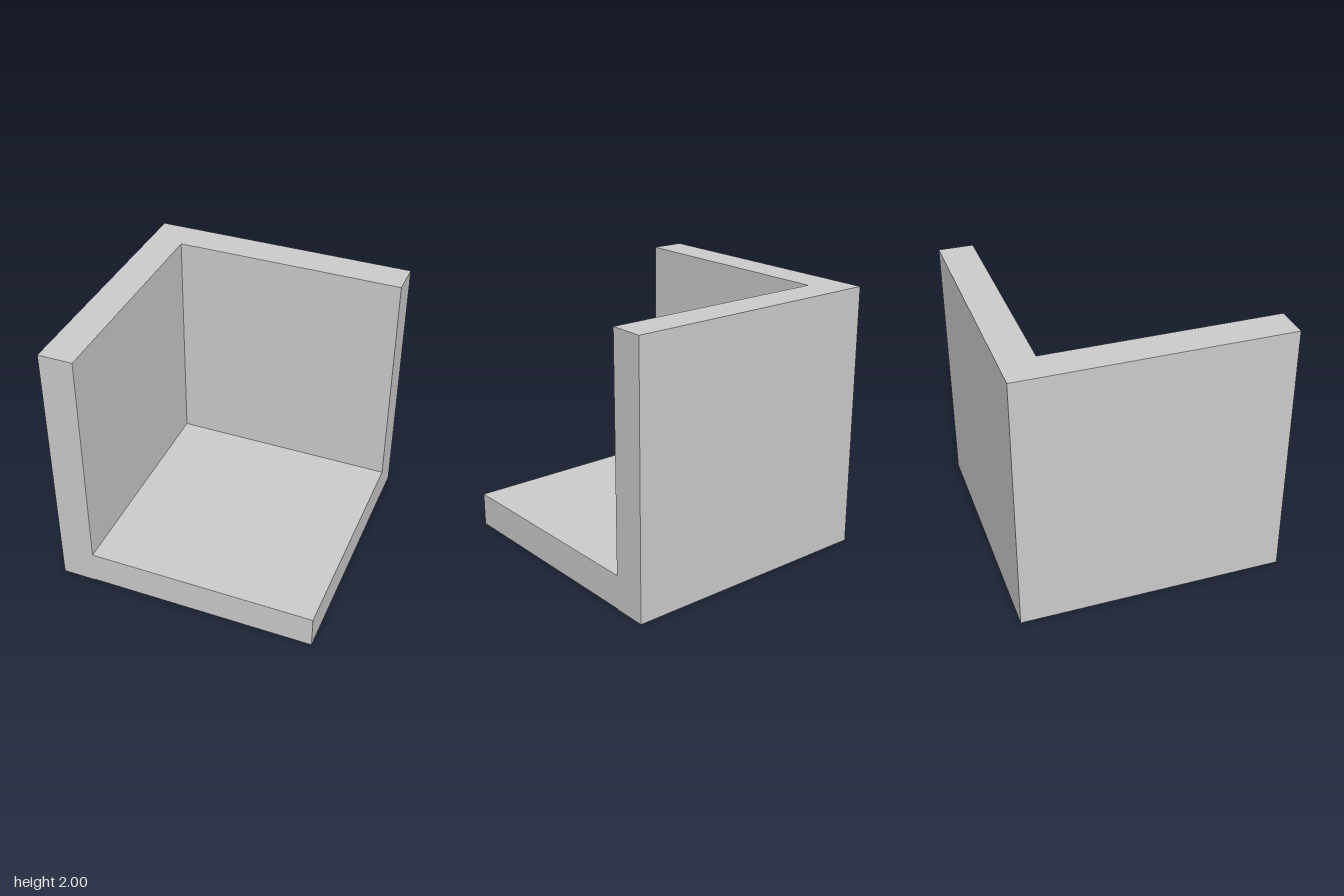
import * as THREE from 'three';

const SIZE = 2, WALL = 0.26, FLOOR_TOP = 0.26, RECESS = 0.005;

export function createModel() {
  const group = new THREE.Group();
  group.name = 'cornerBlock';
  const material = new THREE.MeshStandardMaterial({ color: 0xcccccc, flatShading: true });

  // Two walls meeting at the back corner: an L-shaped plan raised to full height
  const h = SIZE / 2, inner = -h + WALL;
  const plan = new THREE.Shape([
    [-h, -h], [inner, -h], [inner, -inner], [h, -inner], [h, h], [-h, h],
  ].map(([x, y]) => new THREE.Vector2(x, y)));
  const wallGeometry = new THREE.ExtrudeGeometry(plan, { depth: SIZE, bevelEnabled: false });
  wallGeometry.rotateX(-Math.PI / 2);
  const walls = new THREE.Mesh(wallGeometry, material);
  walls.name = 'cornerWalls';
  group.add(walls);

  // Floor slab between the walls, its underside set very slightly above the wall feet
  const side = SIZE - WALL;
  const floor = new THREE.Mesh(new THREE.BoxGeometry(side, FLOOR_TOP - RECESS, side), material);
  floor.name = 'floorSlab';
  floor.position.set(WALL / 2, (FLOOR_TOP + RECESS) / 2, WALL / 2);
  group.add(floor);

  return group;
}
